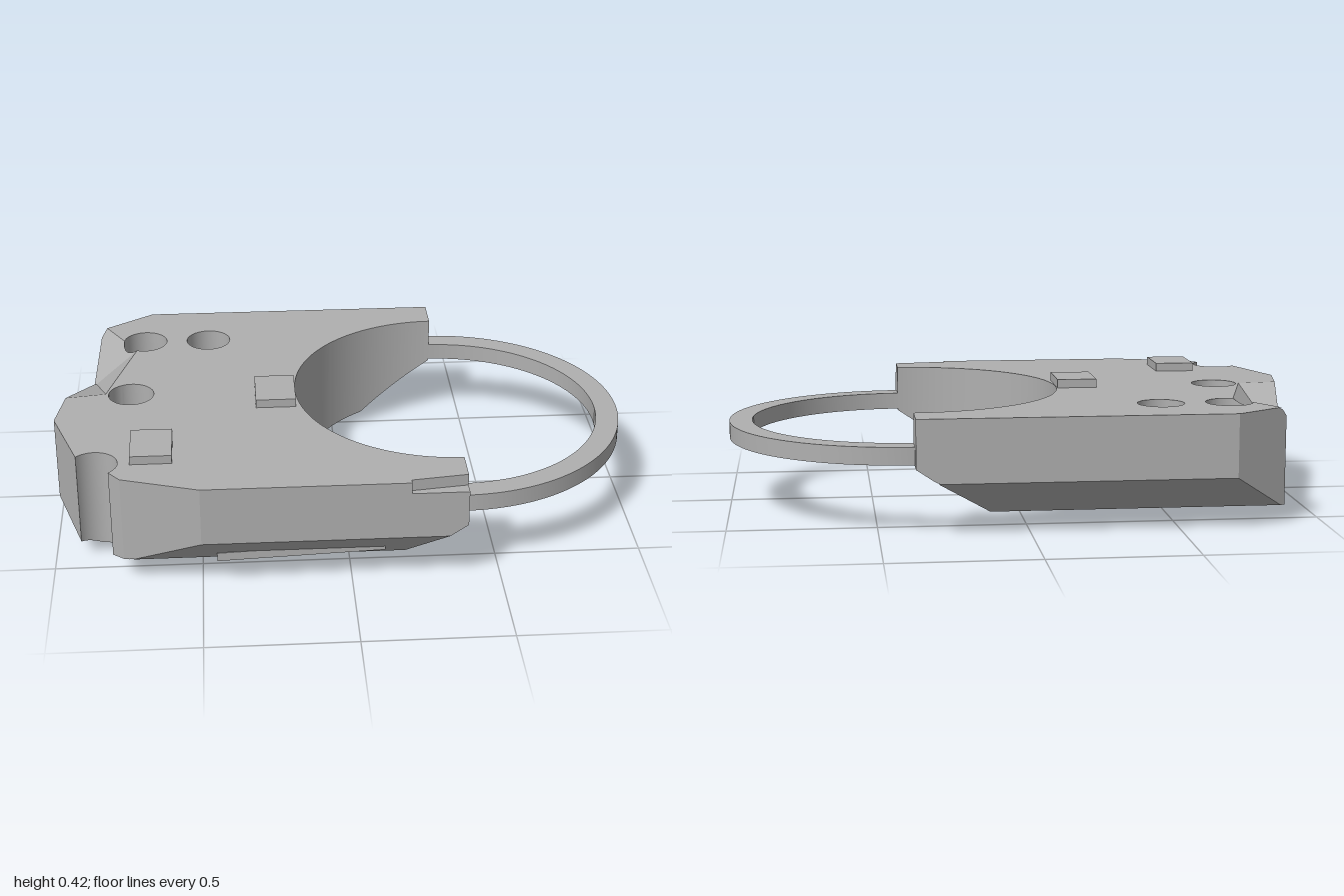
import * as THREE from 'three';
import { toCreasedNormals } from 'three/addons/utils/BufferGeometryUtils.js';

const V = (x, z) => new THREE.Vector2(x, z); // plan points, y holds z

// Planes are [h, sx, sz]: height = h + sx*x + sz*z
const height = (p, v) => p[0] + p[1] * v.x + p[2] * v.y;
const highest = (planes, v) => Math.max(...planes.map(p => height(p, v)));
const minus = (a, b) => a.map((n, i) => n - b[i]);

function planeThrough(a, b, c) {
  const plane = new THREE.Plane().setFromCoplanarPoints(
    new THREE.Vector3(...a), new THREE.Vector3(...b), new THREE.Vector3(...c));
  const n = plane.normal;
  return [-plane.constant / n.y, -n.x / n.y, -n.z / n.y];
}

// Keep the part of a polygon where the plane is not negative
function clip(poly, p) {
  const out = [];
  poly.forEach((a, i) => {
    const b = poly[(i + 1) % poly.length];
    const ha = height(p, a), hb = height(p, b);
    if (ha >= 0) out.push(a);
    if ((ha >= 0) !== (hb >= 0)) out.push(a.clone().lerp(b, ha / (ha - hb)));
  });
  return out;
}

function arc(cx, cz, r, from, to, n) {
  return Array.from({ length: n + 1 }, (_, i) => {
    const t = THREE.MathUtils.degToRad(from + (to - from) * i / n);
    return V(cx + r * Math.cos(t), cz + r * Math.sin(t));
  });
}

// Upright block between a faceted underside and a faceted top cut off at cap
function facetedBlock(outline, holes, under, pit, cap) {
  const pos = [];
  const tri = (...pts) => pts.forEach(p => pos.push(...p));
  const at = (v, y) => [v.x, y, v.y];
  const topY = v => Math.min(cap, highest(pit, v));
  const all = [outline, ...holes].flat();

  const emit = (poly, plane, up) => {
    for (let i = 1; i < poly.length - 1; i++) {
      const t = [poly[0], poly[i], poly[i + 1]].map(v => at(v, height(plane, v)));
      if (!up) t.reverse();
      tri(...t);
    }
  };
  const split = (t, planes, visit) => planes.forEach((p, i) => {
    let poly = t;
    planes.forEach((q, j) => { if (i !== j) poly = clip(poly, minus(p, q)); });
    if (poly.length > 2) visit(poly, p);
  });

  // Top and underside
  for (const f of THREE.ShapeUtils.triangulateShape(outline, holes)) {
    const t = f.map(i => all[i]);
    const e = t[1].clone().sub(t[0]), g = t[2].clone().sub(t[0]);
    if (e.x * g.y - e.y * g.x > 0) t.reverse();
    split(t, under, (poly, p) => emit(poly, p, false));
    const flat = [cap, 0, 0];
    split(t, pit, (poly, p) => {
      emit(clip(poly, minus(p, flat)), flat, true);
      emit(clip(poly, minus(flat, p)), p, true);
    });
  }

  // Walls
  for (const loop of [outline, ...holes]) {
    loop.forEach((a, i) => {
      const b = loop[(i + 1) % loop.length];
      const n = Math.ceil(a.distanceTo(b) / 0.02);
      for (let k = 0; k < n; k++) {
        const p = a.clone().lerp(b, k / n), q = a.clone().lerp(b, (k + 1) / n);
        const p0 = at(p, highest(under, p)), q0 = at(q, highest(under, q));
        const p1 = at(p, topY(p)), q1 = at(q, topY(q));
        tri(p0, q0, q1);
        tri(p0, q1, p1);
      }
    });
  }
  const geo = new THREE.BufferGeometry();
  geo.setAttribute('position', new THREE.Float32BufferAttribute(pos, 3));
  return toCreasedNormals(geo, 0.15);
}

export function createModel() {
  const group = new THREE.Group();
  const grey = new THREE.MeshStandardMaterial({ color: 0xb0b0b0 });
  grey.name = 'plainGrey';
  const add = (name, geo, x = 0, y = 0, z = 0) => {
    const mesh = new THREE.Mesh(geo, grey);
    mesh.name = name;
    mesh.position.set(x, y, z);
    group.add(mesh);
    return mesh;
  };

  // Sloping facets of the underside
  const under = [
    [-0.6625, 0, 1.25], [-0.049, 0, 0.244], [0.013, 0, -0.036],
    [-0.004, 0, -0.122], [-0.505, 0, -1], [-0.02, 0.67, 0], [-0.219, -0.32, 0],
  ];

  // Broken-away corner on the side
  const low = [-0.89, 0.25, -0.4], bend = [-0.73, 0.4, -0.37], end = [-0.83, 0.4, -0.02];
  const chip = [
    planeThrough(bend, end, low),
    planeThrough(end, [-0.96, 0.4, 0], low),
    planeThrough(bend, [-0.84, 0.4, -0.56], low),
  ];

  // Main body with round bite, edge notch and through holes
  const outline = [
    V(0.38, -0.69), V(-0.68, -0.69), V(-0.87, -0.56), V(-1, 0.17),
    ...arc(-0.85, 0.49, 0.08, -140, 50, 28),
    V(-0.76, 0.6), V(-0.5, 0.685), V(0.19, 0.685), V(0.19, 0.665), V(0.38, 0.64),
    ...arc(0.38, -0.017, 0.54, 90, 270, 72),
  ];
  const holes = [[-0.7, -0.445], [-0.465, -0.445], [-0.74, -0.012]]
    .map(([x, z]) => arc(x, z, 0.08, 0, 352.5, 47));
  add('body', facetedBlock(outline, holes, under, chip, 0.4));

  // Lower step in the front edge notch
  const step = [V(0.19, 0.665), V(0.19, 0.685), V(0.38, 0.685), V(0.38, 0.64)];
  add('notchStep', facetedBlock(step, [], under, [[1, 0, 0]], 0.36));

  // Half ring
  const ring = new THREE.Shape();
  ring.absarc(0, 0, 0.62, -Math.PI / 2, Math.PI / 2, false);
  ring.absarc(0, 0, 0.54, Math.PI / 2, -Math.PI / 2, true);
  const ringGeo = new THREE.ExtrudeGeometry(ring, { depth: 0.06, bevelEnabled: false, curveSegments: 64 });
  ringGeo.rotateX(-Math.PI / 2);
  add('halfRing', toCreasedNormals(ringGeo, 0.5), 0.38, 0.24, -0.017);

  // Raised pads
  for (const [x, z] of [[-0.66, 0.408], [-0.232, 0.027]]) {
    add('pad', new THREE.BoxGeometry(0.14, 0.04, 0.188), x, 0.41, z);
  }

  // Narrow ledge along the front slope
  add('frontLedge', new THREE.BoxGeometry(0.56, 0.03, 0.03), -0.17, 0.125, 0.622).rotation.z = 0.04;

  return group;
}
